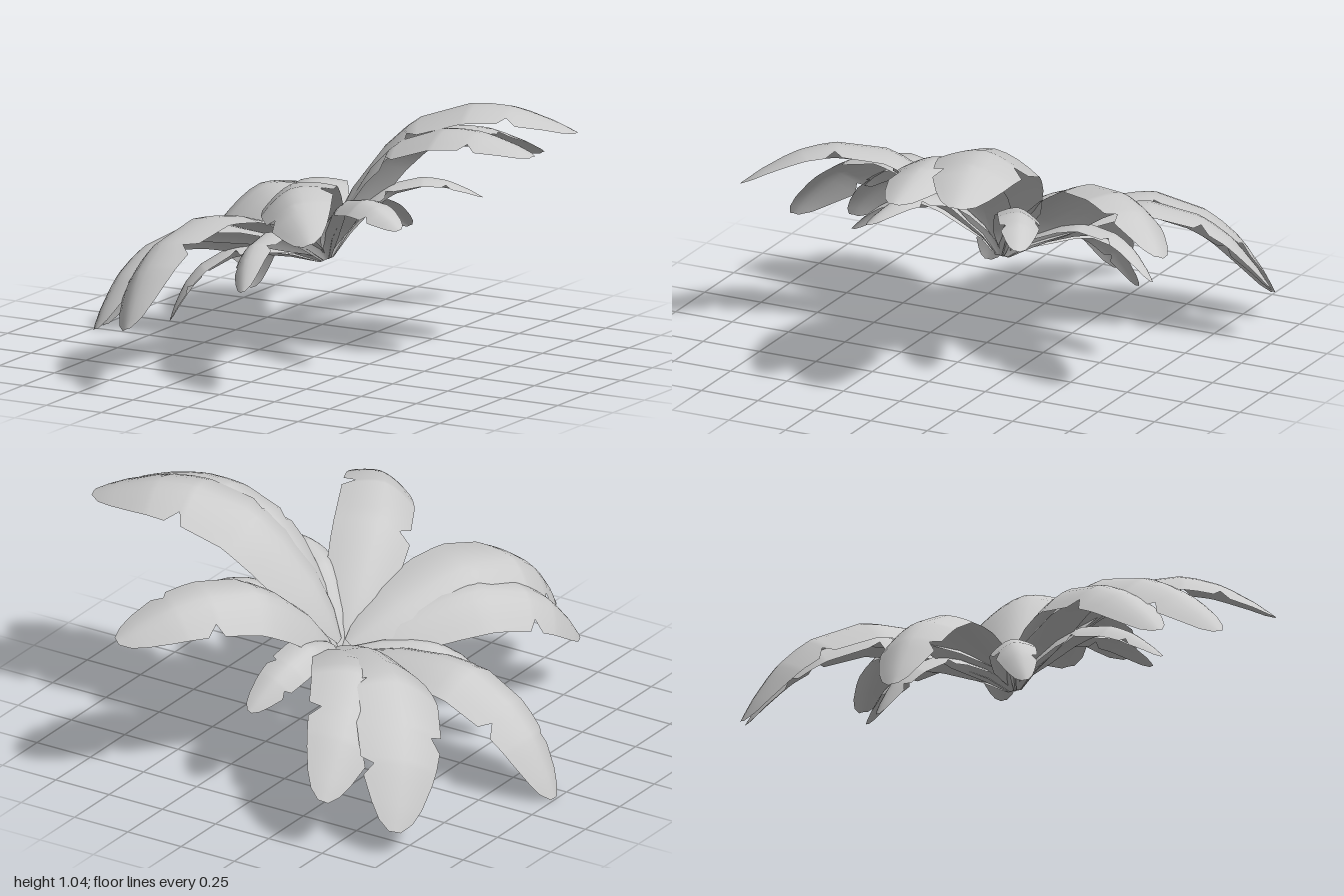
import * as THREE from 'three';

// Leaf outline: [position along the rib, +z half-width, -z half-width], with torn notches
const OUTLINE = [
  [0, 0.12, 0.12], [0.08, 0.42, 0.5], [0.2, 0.78, 0.9], [0.36, 0.94, 1.05],
  [0.44, 0.98, 1.08], [0.46, 0.6, 1.08], [0.5, 0.92, 1.08], [0.66, 0.96, 1.02],
  [0.68, 0.95, 0.72], [0.72, 0.93, 0.97], [0.78, 0.88, 0.9], [0.8, 0.62, 0.87],
  [0.84, 0.8, 0.8], [0.92, 0.58, 0.6], [0.97, 0.38, 0.4], [1, 0.14, 0.14],
];

// Arched rib shared by every leaf: outward along x, then drooping
const RIB = new THREE.CatmullRomCurve3([
  [0.02, -0.03], [0.1, 0.06], [0.22, 0.16], [0.4, 0.26],
  [0.6, 0.305], [0.83, 0.245], [0.98, 0.14], [1.07, 0.05],
].map(([x, y]) => new THREE.Vector3(x, y, 0)));

const COLS = 8;

function leafGeometry(halfWidth, mirror) {
  const positions = [], index = [];
  for (const [t, front, back] of OUTLINE) {
    const p = RIB.getPointAt(t), tan = RIB.getTangentAt(t);
    for (let j = 0; j <= COLS; j++) {
      const s = (j / COLS) * 2 - 1;
      const edge = (s > 0) !== mirror ? front : back;
      // The blade curls down on both sides of the rib
      const drop = 0.065 * Math.pow(Math.abs(s * edge), 1.6);
      positions.push(p.x + tan.y * drop, p.y - tan.x * drop, s * edge * halfWidth);
    }
  }
  for (let i = 0; i < OUTLINE.length - 1; i++) {
    for (let j = 0; j < COLS; j++) {
      const a = i * (COLS + 1) + j, c = a + COLS + 1;
      index.push(a, a + 1, c, a + 1, c + 1, c);
    }
  }
  const g = new THREE.BufferGeometry();
  g.setAttribute('position', new THREE.Float32BufferAttribute(positions, 3));
  g.setIndex(index);
  g.computeVertexNormals();
  return g;
}

export function createModel() {
  const model = new THREE.Group();
  model.name = 'leafyPlant';
  const material = new THREE.MeshStandardMaterial({ color: 0xcccccc, side: THREE.DoubleSide });

  // The whole rosette leans to one side
  const rosette = new THREE.Group();
  rosette.name = 'rosette';
  rosette.position.set(0, 0.407, -0.075);
  rosette.rotation.z = THREE.MathUtils.degToRad(25);
  model.add(rosette);

  // heading and pitch in degrees
  const addLeaf = (name, heading, pitch, scale, halfWidth, lift, mirror) => {
    const leaf = new THREE.Mesh(leafGeometry(halfWidth, mirror), material);
    leaf.name = name;
    leaf.scale.setScalar(scale);
    leaf.position.y = lift;
    leaf.rotation.set(0, -THREE.MathUtils.degToRad(heading), THREE.MathUtils.degToRad(pitch));
    rosette.add(leaf);
  };

  // Two whorls of six, the small one turned half a step; the low half is mirrored
  for (let i = 0; i < 6; i++) {
    const mirror = i >= 2 && i <= 4;
    addLeaf(`largeLeaf${i + 1}`, i * 60, 0, 1, 0.155, 0, mirror);
    addLeaf(`smallLeaf${i + 1}`, i * 60 + 30, -5, 0.62, 0.14, 0, mirror);
  }
  // Three broad leaves on top: heading, pitch, scale
  [[-14.5, -1.5, 1.08], [106, -5, 1.045], [-135.5, -2.5, 1.07]].forEach(([heading, pitch, scale], i) => {
    addLeaf(`topLeaf${i + 1}`, heading, pitch, scale, 0.172, 0.05, false);
  });
  return model;
}
